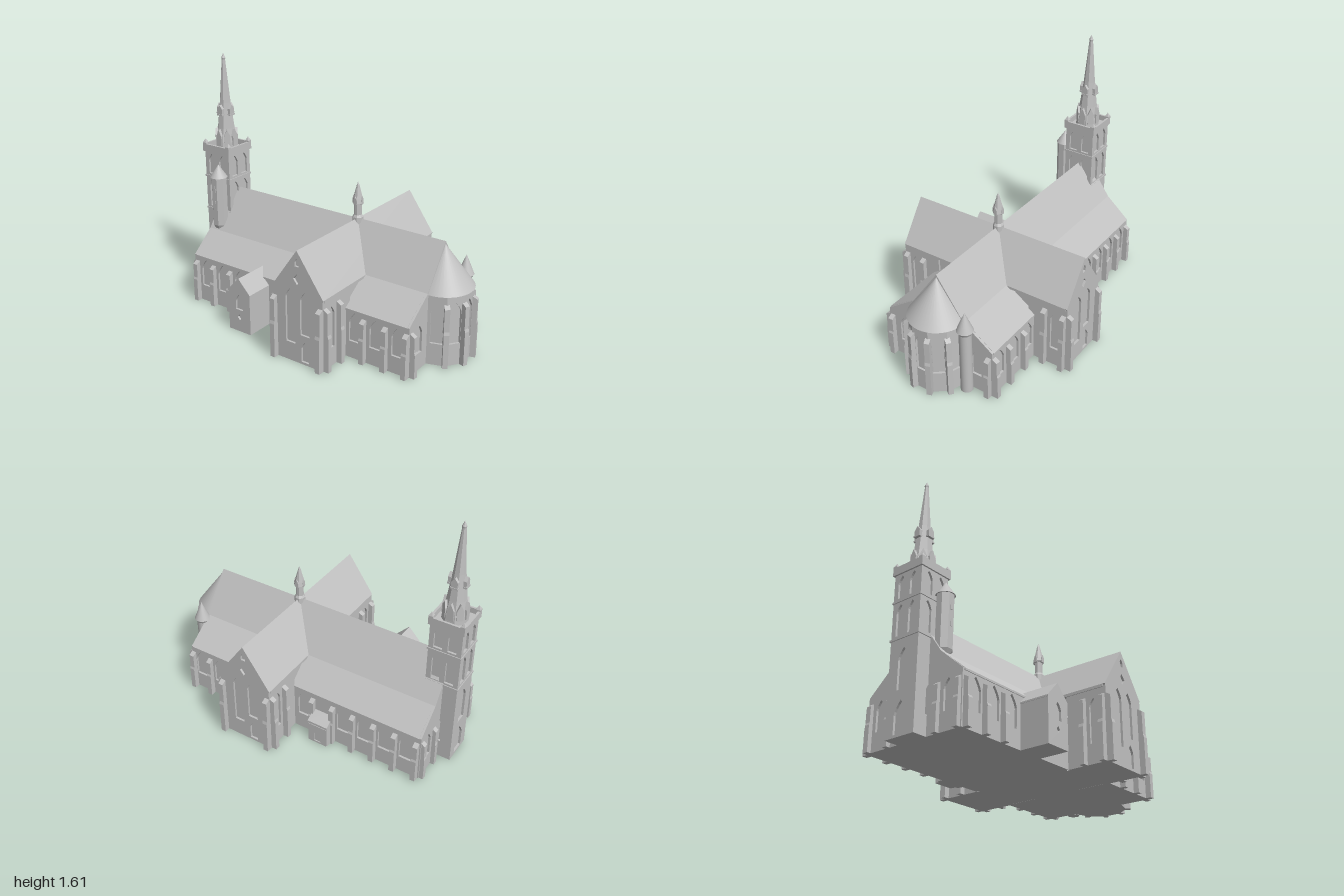
import * as THREE from 'three';

const D = 0.014; // wall skin thickness, also the depth of window recesses
const stone = new THREE.MeshStandardMaterial({ color: 0xc0c0c0 });
stone.name = 'pale grey stone';

export function createModel() {
  const root = new THREE.Group();
  root.name = 'church';

  const add = (name, geo, x = 0, y = 0, z = 0, ry = 0) => {
    const m = new THREE.Mesh(geo, stone);
    m.name = name;
    m.position.set(x, y, z);
    m.rotation.y = ry;
    root.add(m);
    return m;
  };
  const flat = (g) => {
    const f = g.toNonIndexed();
    f.computeVertexNormals();
    return f;
  };
  const box = (name, w, h, d, x, y0, z) => add(name, new THREE.BoxGeometry(w, h, d), x, y0 + h / 2, z);
  const poly = (pts) => new THREE.Shape(pts.map((p) => new THREE.Vector2(p[0], p[1])));
  const mirrored = (half) => half.concat(half.slice().reverse().filter((p) => p[0] !== 0).map(([x, y]) => [-x, y]));
  const extrude = (shape, depth) => {
    const g = new THREE.ExtrudeGeometry(shape, { depth, bevelEnabled: false, curveSegments: 4 });
    return g.translate(0, 0, -depth / 2);
  };
  const lathe = (pts, sides) => new THREE.LatheGeometry(pts.map((p) => new THREE.Vector2(p[0], p[1])), sides);

  // Pointed window and diamond openings
  const lancet = (x, y0, y1, w) => {
    const p = new THREE.Path(), s = y1 - w * 0.85;
    p.moveTo(x - w / 2, y0);
    p.lineTo(x + w / 2, y0);
    p.lineTo(x + w / 2, s);
    p.quadraticCurveTo(x + w * 0.42, s + w * 0.4, x, y1);
    p.quadraticCurveTo(x - w * 0.42, s + w * 0.4, x - w / 2, s);
    p.closePath();
    return p;
  };
  const diamond = (x, y, r) => new THREE.Path([[x, y - r], [x + r * 0.8, y], [x, y + r], [x - r * 0.8, y]].map((p) => new THREE.Vector2(...p)));

  // Wall skin with openings; (x, z) is on its outer face, ry turns +z outwards
  const facade = (name, outline, holes, x, z, ry) => {
    const s = poly(outline);
    s.holes = holes;
    add(name, extrude(s, D).translate(0, 0, -D / 2), x, 0, z, ry);
  };
  const rect = (w, h, y0 = 0) => [[-w / 2, y0], [w / 2, y0], [w / 2, h], [-w / 2, h]];

  // Stepped buttress reaching outwards along the plan angle a (degrees from +x to +z)
  const buttress = (x, z, a, h, d = 0.036) => {
    const s = poly([[-0.02, 0], [d, 0], [d, h * 0.55], [d * 0.85, h * 0.6], [d * 0.85, h - 0.018], [0, h], [-0.02, h]]);
    add('buttress', extrude(s, 0.032), x, 0, z, -a * Math.PI / 180);
  };

  // Roofed cores: inset walls below a full-width roof
  const steep = [[0.185, 0.457], [0, 0.72]];
  const aisled = (w) => mirrored([[w - D, 0], [w - D, 0.308], [w + 0.004, 0.308], [w + 0.004, 0.32], ...steep]);
  const gableEnd = (w) => mirrored([[w, 0], [w, 0.32], ...steep]);
  const TX = 0.172;
  const Q = Math.PI / 2;
  add('naveBody', extrude(poly(aisled(0.343)), 1.07 - D), (-0.9 + D + 0.17) / 2, 0, 0, Q);
  add('choirBody', extrude(poly(aisled(0.38)), 0.615 - D - 0.17), (0.34 + 0.785 - D) / 2, 0, 0, Q);
  add('crossingRoof', extrude(poly(mirrored([[0.17, 0], ...steep])), 0.3), 0.25, 0, 0, Q);
  add('transeptBody', extrude(poly(mirrored([[0.18 - D, 0], [0.18 - D, 0.44], [0.185, 0.44], ...steep])), 1.22 - 2 * D), TX, 0, 0);

  // Long walls on both sides
  const naveX = [-0.8, -0.655, -0.51, -0.365, -0.22, -0.08];
  for (const s of [1, -1]) {
    const ry = s > 0 ? 0 : Math.PI;
    const bays = (list, cx) => list.map((x) => lancet(s * (x - cx), 0.11, 0.3, 0.082));
    const nave = s > 0 ? [-0.8, -0.655, -0.51, -0.14] : naveX.filter((x) => x !== -0.22);
    facade('naveWall', rect(0.89, 0.31), bays(nave, -0.455), -0.455, s * 0.343, ry);
    facade('choirWall', rect(0.435, 0.31), bays([0.415, 0.56, 0.71], 0.5675), 0.5675, s * 0.38, ry);
    const nb = s > 0 ? [-0.875, -0.73, -0.585] : [-0.875, -0.73, -0.585, -0.44, -0.295, -0.15];
    nb.forEach((x) => buttress(x, s * 0.343, s * 90, 0.28));
    [0.48, 0.63, 0.77].forEach((x) => buttress(x, s * 0.38, s * 90, 0.28));
    buttress(0.785, s * 0.355, 0, 0.28);
    buttress(-0.9, s * 0.32, 180, 0.28, 0.026);
    buttress(-0.9, s * 0.175, 180, 0.28, 0.026);

    // Transept gable, side walls and buttresses
    const holes = [
      lancet(-0.053, 0.12, 0.47, 0.068), lancet(0.053, 0.19, 0.47, 0.068), lancet(0.053, 0.015, 0.15, 0.055),
      diamond(0, 0.54, 0.034), lancet(0, 0.62, 0.67, 0.03),
    ];
    facade('transeptGable', mirrored([[0.18, 0], [0.18, 0.45], [0.185, 0.457], [0, 0.72]]), holes, TX, s * 0.61, ry);
    for (const t of [1, -1]) {
      facade('transeptSideWall', rect(0.27, 0.445), [lancet(-t * s * 0.05, 0.12, 0.39, 0.058)], TX + t * 0.18, s * 0.475, t * Q);
      buttress(TX + t * 0.165, s * 0.61, s * 90, 0.4);
      buttress(TX + t * 0.18, s * 0.588, t > 0 ? 0 : 180, 0.4);
      buttress(TX + t * 0.18, s * 0.458, t > 0 ? 0 : 180, 0.4);
    }
  }
  facade('westGable', gableEnd(0.343), [lancet(-0.248, 0.11, 0.29, 0.065), lancet(0.248, 0.11, 0.29, 0.065)], -0.9, 0, -Q);
  facade('eastGable', gableEnd(0.38), [lancet(-0.268, 0.11, 0.29, 0.065), lancet(0.268, 0.11, 0.29, 0.065)], 0.785, 0, Q);

  // Polygonal apse with conical roof
  const AX = 0.785, AR = 0.18, AP = AR * Math.cos(Math.PI / 10);
  add('apseCore', flat(new THREE.CylinderGeometry(AR - D, AR - D, 0.45, 10)), AX, 0.225, 0);
  for (let i = -2; i <= 2; i++) {
    const a = i * Math.PI / 5;
    facade('apseWall', rect(2 * AR * Math.sin(Math.PI / 10), 0.452), [lancet(0, 0.14, 0.405, 0.075)], AX + AP * Math.cos(a), AP * Math.sin(a), Q - a);
  }
  for (const a of [-54, -18, 18, 54]) {
    const r = a * Math.PI / 180;
    buttress(AX + 0.175 * Math.cos(r), 0.175 * Math.sin(r), a, 0.4, 0.035);
  }
  add('apseRoof', new THREE.ConeGeometry(0.185, 0.252, 40), AX, 0.45 + 0.126, 0);

  // Round turret beside the apse
  add('apseTurret', new THREE.CylinderGeometry(0.038, 0.038, 0.43, 20), 0.815, 0.215, -0.215);
  add('apseTurretRim', new THREE.CylinderGeometry(0.05, 0.04, 0.02, 20), 0.815, 0.43, -0.215);
  add('apseTurretRoof', new THREE.ConeGeometry(0.052, 0.125, 20), 0.815, 0.5025, -0.215);

  // South porch and small north lean-to
  const porch = (i) => mirrored([[0.086 - i, 0], [0.086 - i, 0.262], [0.088, 0.262], [0.088, 0.272], [0, 0.365]]);
  add('porchBody', extrude(poly(porch(0)), 0.29), -0.352, 0, 0.37);
  facade('porchGable', porch(0), [lancet(0, 0.15, 0.255, 0.056), diamond(0, 0.098, 0.02)], -0.352, 0.529, 0);
  add('leanTo', extrude(poly([[0.3, 0], [0.41, 0], [0.41, 0.14], [0.417, 0.14], [0.417, 0.155], [0.3, 0.225]]), 0.14), -0.225, 0, 0, Q);
  facade('leanToWall', rect(0.13, 0.135), [lancet(0, 0.012, 0.11, 0.05)], -0.225, -0.416, Math.PI);

  // West tower
  const X = -0.887, H = 0.103;
  box('towerCore', 2 * (H - D), 0.97, 2 * (H - D), X, 0, 0);
  for (let k = 0; k < 4; k++) {
    const ry = k * Q, holes = [];
    for (const x of [-0.045, 0.045]) holes.push(lancet(x, 0.58, 0.77, 0.056), lancet(x, 0.81, 0.95, 0.056));
    if (k === 3) holes.push(lancet(0, 0.015, 0.2, 0.09), lancet(0, 0.26, 0.5, 0.075));
    else holes.push(lancet(0, 0.12, 0.3, 0.06));
    facade('towerWall', rect(2 * H, 0.97), holes, X + H * Math.sin(ry), H * Math.cos(ry), ry);
  }
  for (const y of [0.555, 0.785]) box('stringCourse', 0.217, 0.012, 0.217, X, y, 0);
  box('towerCornice', 0.226, 0.014, 0.226, X, 0.962, 0);
  for (const s of [1, -1]) {
    box('parapet', 0.226, 0.04, 0.014, X, 0.972, s * 0.106);
    box('parapet', 0.014, 0.04, 0.226, X + s * 0.106, 0.972, 0);
    for (const t of [1, -1]) {
      box('pinnacleBase', 0.028, 0.055, 0.028, X + s * 0.099, 0.965, t * 0.099);
      add('pinnacle', flat(new THREE.ConeGeometry(0.0198, 0.026, 4).rotateY(Math.PI / 4)), X + s * 0.099, 1.033, t * 0.099);
    }
  }

  // Octagonal spire with two rings of gablets
  const spire = flat(lathe([[0.078, 0.97], [0.074, 1.03], [0.058, 1.12], [0.037, 1.29], [0.012, 1.57], [0.014, 1.58], [0, 1.612]], 8));
  add('spire', spire, X, 0, 0, Math.PI / 8);
  const gablet = (w, h, d) => extrude(poly(mirrored([[w / 2, 0], [w / 2, h * 0.6], [0, h]])), d);
  for (let k = 0; k < 8; k++) {
    const a = k * Math.PI / 4, r = k % 2 ? 0.05 : 0.054;
    add('lowerGablet', gablet(0.042, 0.11, 0.045), X + r * Math.sin(a), 1.005, r * Math.cos(a), a);
    if (k % 2 === 0) {
      add('upperGablet', gablet(0.04, 0.065, 0.03), X + 0.042 * Math.sin(a), 1.212, 0.042 * Math.cos(a), a);
      add('gabletCorbel', new THREE.BoxGeometry(0.046, 0.01, 0.034), X + 0.043 * Math.sin(a), 1.212, 0.043 * Math.cos(a), a);
    }
  }

  // Corbelled stair turret on the tower
  add('stairTurret', flat(lathe([[0, 0.45], [0.035, 0.455], [0.052, 0.49], [0.052, 0.82]], 8)), -0.84, 0, 0.143, Math.PI / 8);
  add('stairTurretRoof', new THREE.ConeGeometry(0.057, 0.085, 16), -0.84, 0.8625, 0.143);
  for (const y of [0.62, 0.72]) add('stairSlit', gablet(0.016, 0.045, 0.006), -0.84, y, 0.191);

  // Ridge turret over the crossing
  const flèche = flat(lathe([[0.036, 0.66], [0.034, 0.73], [0.025, 0.745], [0.025, 0.82], [0.036, 0.822], [0.03, 0.85], [0.008, 0.935], [0, 0.955]], 8));
  add('ridgeTurret', flèche, TX, 0, 0, Math.PI / 8);
  for (let k = 0; k < 4; k++) {
    add('ridgeGablet', gablet(0.022, 0.05, 0.014), TX + 0.027 * Math.sin(k * Q), 0.815, 0.027 * Math.cos(k * Q), k * Q);
  }
  return root;
}
